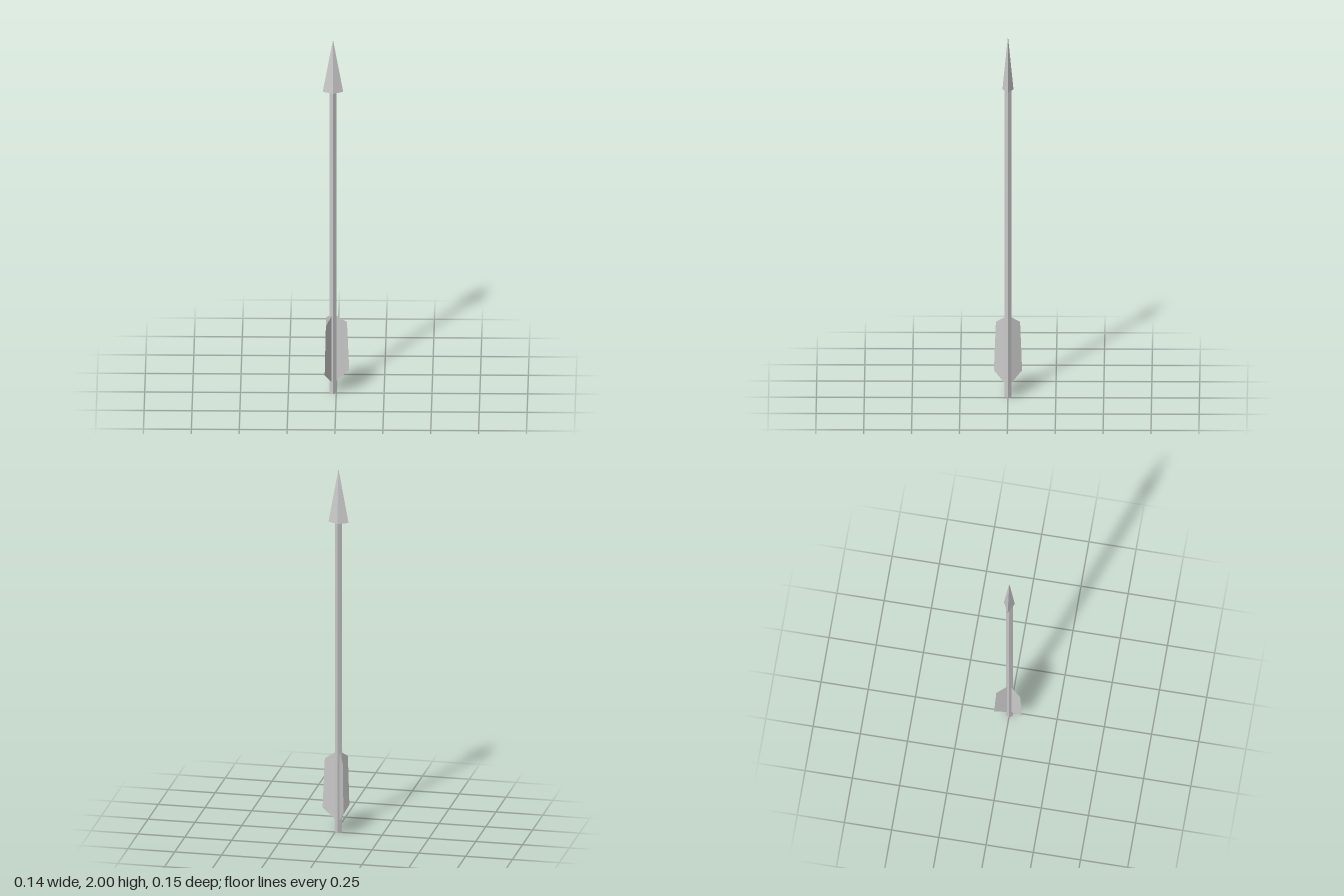
import * as THREE from 'three';

export function createModel() {
  const group = new THREE.Group();
  const axisX = -0.017; // the shaft sits slightly off centre
  const headBase = 1.705;

  const add = (geometry, name, side = THREE.FrontSide) => {
    const material = new THREE.MeshStandardMaterial({ color: 0xcccccc, flatShading: true, side });
    const mesh = new THREE.Mesh(geometry, material);
    mesh.name = name;
    mesh.position.x = axisX;
    group.add(mesh);
    return mesh;
  };

  // Square shaft with its edges facing front and sides
  const shaft = new THREE.CylinderGeometry(0.0188, 0.0188, headBase, 4);
  add(shaft.translate(0, headBase / 2, 0), 'shaft');

  // Flattened four-sided arrowhead
  const headHeight = 2 - headBase;
  const head = new THREE.ConeGeometry(1, headHeight, 4);
  head.scale(0.0535, 1, 0.029).translate(0, headBase + headHeight / 2, 0);
  add(head, 'arrowhead');

  // Three thin vanes evenly spaced around the shaft
  const outline = [[0, 0.07], [0.018, 0.07], [0.085, 0.13], [0.073, 0.402], [0.018, 0.438], [0, 0.438]];
  const vane = new THREE.ShapeGeometry(new THREE.Shape(outline.map(([x, y]) => new THREE.Vector2(x, y))));
  for (let i = 0; i < 3; i++) {
    add(vane, 'vane' + (i + 1), THREE.DoubleSide).rotation.y = (i * Math.PI * 2) / 3;
  }

  return group;
}
